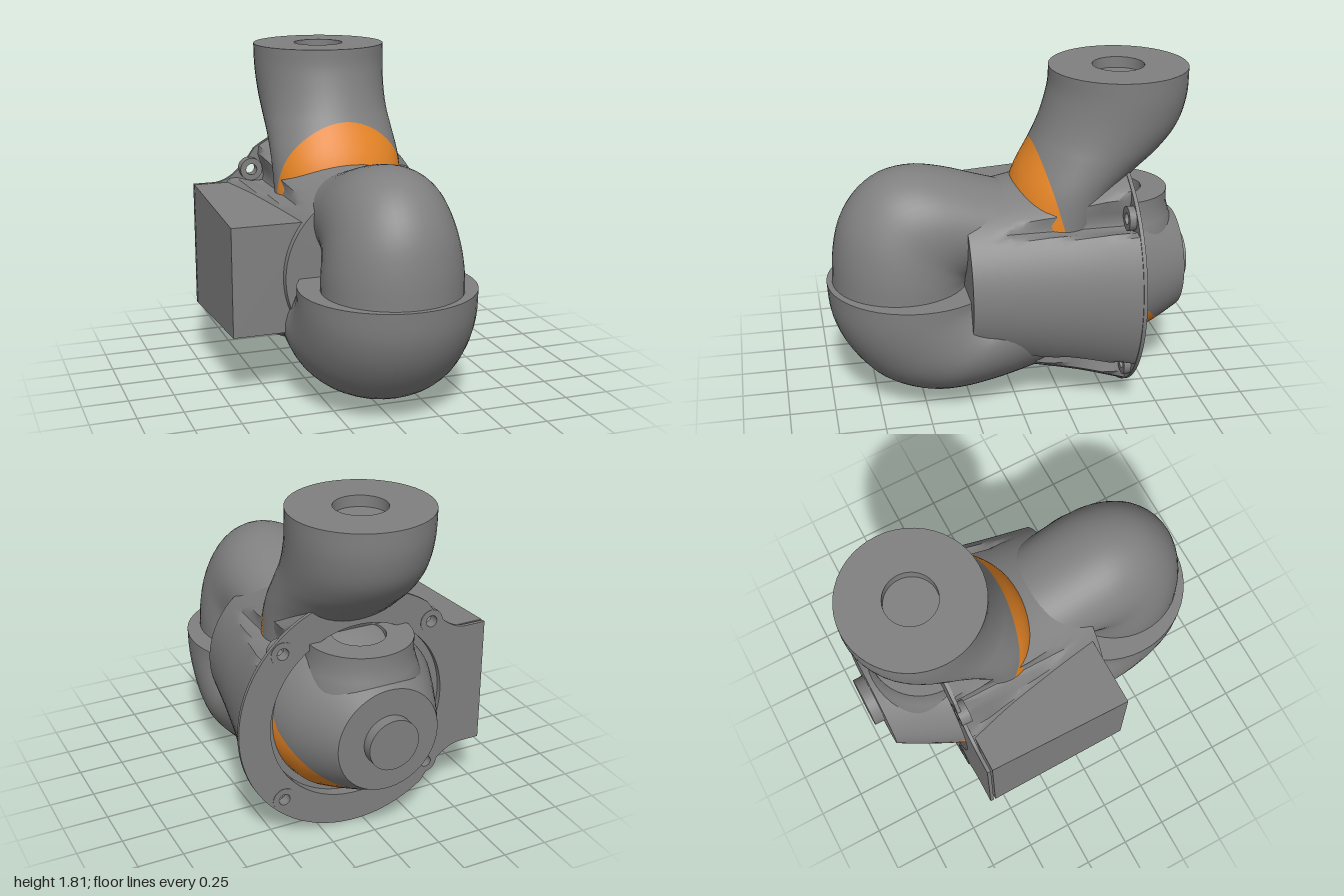
import * as THREE from 'three';
import { toCreasedNormals } from 'three/addons/utils/BufferGeometryUtils.js';

const CX = 0.04, CY = 0.68; // main axis, running along z

const grey = new THREE.MeshStandardMaterial({ color: 0x808080 });
grey.name = 'grey casing';
const orange = new THREE.MeshStandardMaterial({ color: 0xf28c28 });
orange.name = 'orange marking';

// Tube through oval rings: [outer [z, y], inner [z, y], half width]; a negative width reverses the facing
function loft(rings, capStart, capEnd, n = 48) {
  const pos = [], idx = [];
  for (const [o, i, w] of rings) {
    for (let j = 0; j < n; j++) {
      const a = (j / n) * Math.PI * 2, c = Math.cos(a) / 2;
      pos.push(CX + w * Math.sin(a), (o[1] + i[1]) / 2 + (o[1] - i[1]) * c, (o[0] + i[0]) / 2 + (o[0] - i[0]) * c);
    }
  }
  const flip = rings[0][2] < 0;
  const tri = (a, b, c) => (flip ? idx.push(a, c, b) : idx.push(a, b, c));
  // Negative widths already mirror the ring, so the winding stays consistent
  const add = (a, b, c) => (flip ? tri(a, c, b) : tri(a, b, c));
  for (let k = 0; k < rings.length - 1; k++) {
    for (let j = 0; j < n; j++) {
      const a = k * n + j, b = k * n + (j + 1) % n;
      add(a, b, b + n);
      add(a, b + n, a + n);
    }
  }
  const last = (rings.length - 1) * n;
  for (let j = 1; j < n - 1; j++) {
    if (capStart) add(0, j + 1, j);
    if (capEnd) add(last, last + j, last + j + 1);
  }
  const g = new THREE.BufferGeometry();
  g.setAttribute('position', new THREE.Float32BufferAttribute(pos, 3));
  g.setIndex(idx);
  return toCreasedNormals(g, 0.7);
}

// Smooths a coarse list of rings with splines
function smoothRings(rings, count) {
  const curve = (f) => new THREE.CatmullRomCurve3(rings.map(f)).getPoints(count);
  const pts = (pick) => new THREE.SplineCurve(rings.map(pick)).getPoints(count);
  const o = pts((r) => new THREE.Vector2(...r[0]));
  const i = pts((r) => new THREE.Vector2(...r[1]));
  const w = pts((r, k) => new THREE.Vector2(k, r[2]));
  return o.map((p, k) => [[p.x, p.y], [i[k].x, i[k].y], w[k].y]);
}

const lathe = (points, n = 64) =>
  new THREE.LatheGeometry(points.map((p) => new THREE.Vector2(p[0], p[1])), n);

// Lathe about the main axis; points are [radius, z]
const latheZ = (points, n) => lathe(points, n).rotateX(Math.PI / 2).translate(CX, CY, 0);

// Cuts triangles along the plane ny*y + nz*z + d = 0; the positive side becomes orange
function twoTone(geometry, ny, nz, d) {
  const g = geometry.index ? geometry.toNonIndexed() : geometry;
  const P = g.attributes.position, N = g.attributes.normal;
  const out = [{ p: [], n: [] }, { p: [], n: [] }];
  for (let t = 0; t < P.count; t += 3) {
    const v = [0, 1, 2].map((k) => {
      const p = new THREE.Vector3().fromBufferAttribute(P, t + k);
      return { p, n: new THREE.Vector3().fromBufferAttribute(N, t + k), s: ny * p.y + nz * p.z + d };
    });
    [-1, 1].forEach((side, slot) => {
      const poly = [];
      v.forEach((a, k) => {
        const b = v[(k + 1) % 3];
        if (a.s * side >= 0) poly.push(a);
        if (a.s * b.s < 0) {
          const f = a.s / (a.s - b.s);
          poly.push({ p: a.p.clone().lerp(b.p, f), n: a.n.clone().lerp(b.n, f).normalize() });
        }
      });
      for (let k = 1; k < poly.length - 1; k++) {
        for (const q of [poly[0], poly[k], poly[k + 1]]) {
          out[slot].p.push(...q.p.toArray());
          out[slot].n.push(...q.n.toArray());
        }
      }
    });
  }
  const r = new THREE.BufferGeometry();
  r.setAttribute('position', new THREE.Float32BufferAttribute(out[0].p.concat(out[1].p), 3));
  r.setAttribute('normal', new THREE.Float32BufferAttribute(out[0].n.concat(out[1].n), 3));
  r.addGroup(0, out[0].p.length / 3, 0);
  r.addGroup(out[0].p.length / 3, out[1].p.length / 3, 1);
  return r;
}

const circleHole = (x, y, r) => new THREE.Path().absarc(x, y, r, 0, Math.PI * 2, true);

export function createModel() {
  const model = new THREE.Group();
  model.name = 'jointHousing';
  const add = (name, geometry, material = grey) => {
    const m = new THREE.Mesh(geometry, material);
    m.name = name;
    model.add(m);
    return m;
  };
  const screws = [[1, 1], [-1, 1], [-1, -1], [1, -1]].map(([a, b]) => [CX + a * 0.427, CY + b * 0.427]);

  // Flared main casing with four scooped screw pockets
  const flare = new THREE.SplineCurve([[0.672, -0.6], [0.6, -0.35], [0.545, -0.1], [0.515, 0.05], [0.475, 0.27]]
    .map((p) => new THREE.Vector2(...p))).getPoints(20).map((p) => [p.x, p.y]);
  const casing = latheZ([[0, -0.55], [0.5, -0.55], [0.5, -0.6], ...flare, [0, 0.27]], 128);
  const cp = casing.attributes.position;
  for (let i = 0; i < cp.count; i++) {
    const x = cp.getX(i) - CX, y = cp.getY(i) - CY, r = Math.hypot(x, y);
    const off = Math.abs(Math.atan2(Math.abs(y), Math.abs(x)) - Math.PI / 4) / 0.17;
    const limit = 0.5 + 0.18 * off * off;
    if (r > limit) cp.setXY(i, CX + x * limit / r, CY + y * limit / r);
  }
  add('mainCasing', toCreasedNormals(casing, 0.6));

  // Rear flange plate with a side wing
  const plate = new THREE.Shape();
  plate.absarc(CX, CY, 0.675, -2.208, 2.208, false);
  plate.quadraticCurveTo(-0.48, 1.04, -0.6, 1.035);
  plate.lineTo(-0.72, 1.035);
  plate.lineTo(-0.72, 0.325);
  plate.lineTo(-0.6, 0.325);
  plate.quadraticCurveTo(-0.48, 0.32, CX + 0.675 * Math.cos(2.208), CY - 0.675 * Math.sin(2.208));
  plate.holes.push(circleHole(CX, CY, 0.5), ...screws.map(([x, y]) => circleHole(x, y, 0.032)));
  add('flangePlate', new THREE.ExtrudeGeometry(plate, { depth: 0.02, bevelEnabled: false, curveSegments: 64 })
    .translate(0, 0, -0.61));

  // Screw bosses
  const ring = new THREE.Shape().absarc(0, 0, 0.065, 0, Math.PI * 2, false);
  ring.holes.push(circleHole(0, 0, 0.032));
  for (const [x, y] of screws) {
    add('screwBoss', new THREE.ExtrudeGeometry(ring, { depth: 0.06, bevelEnabled: false, curveSegments: 16 })
      .translate(x, y, -0.613));
  }

  // Side box, slightly narrower toward the front
  const box = new THREE.BoxGeometry(0.44, 0.71, 0.82).translate(-0.5, CY, -0.17);
  const bp = box.attributes.position;
  for (let i = 0; i < bp.count; i++) {
    if (bp.getZ(i) > 0) bp.setY(i, CY + (bp.getY(i) - CY) * 0.85);
  }
  box.computeVertexNormals();
  add('sideBox', box);

  // Lower elbow shell, flat rim on top
  add('lowerElbow', loft(smoothRings([
    [[1.0, 0.68], [0.05, 0.68], -0.475], [[0.98, 0.5], [0.05, 0.68], -0.475],
    [[0.9, 0.32], [0.04, 0.69], -0.475], [[0.75, 0.15], [0.02, 0.7], -0.475],
    [[0.55, 0.06], [0, 0.72], -0.475], [[0.35, 0.04], [-0.03, 0.78], -0.47],
    [[0.1, 0.075], [-0.06, 0.85], -0.46], [[-0.16, 0.14], [-0.1, 0.95], -0.45],
  ], 28), true, true));

  // Upper elbow curving back into the casing
  add('upperElbow', loft(smoothRings([
    [[0.97, 0.68], [0.22, 0.68], 0.375], [[0.96, 0.85], [0.22, 0.69], 0.372],
    [[0.92, 1.03], [0.21, 0.7], 0.36], [[0.83, 1.18], [0.2, 0.7], 0.345],
    [[0.7, 1.28], [0.18, 0.7], 0.335], [[0.53, 1.315], [0.15, 0.7], 0.325],
    [[0.35, 1.29], [0.1, 0.69], 0.315], [[0.15, 1.23], [0.03, 0.68], 0.31],
    [[-0.06, 1.17], [-0.06, 0.68], 0.31],
  ], 28), true, true));

  // Rising arm with an orange front saddle
  const arm = loft(smoothRings([
    [[0.02, 0.95], [-0.5, 0.95], 0.37], [[-0.02, 1.2], [-0.58, 1.17], 0.37],
    [[-0.12, 1.41], [-0.7, 1.28], 0.362], [[-0.16, 1.5], [-0.83, 1.39], 0.36],
    [[-0.195, 1.6], [-0.93, 1.52], 0.365], [[-0.225, 1.72], [-0.975, 1.67], 0.372],
    [[-0.23, 1.82], [-0.98, 1.82], 0.375],
  ], 28), true, false);
  add('arm', twoTone(arm, -0.275, 1, 0.523), [grey, orange]);

  // Recessed arm end
  add('armCap', toCreasedNormals(lathe([[0.375, 0], [0.14, 0], [0.14, -0.06], [0, -0.06]], 48)
    .translate(CX, 1.82, -0.605), 0.6));

  // Rear hub with an orange underside, end knob and upright socket
  const hub = toCreasedNormals(latheZ(
    [[0, -0.94], [0.285, -0.94], [0.335, -0.85], [0.41, -0.7], [0.455, -0.6], [0.47, -0.5]], 64), 0.6);
  add('rearHub', twoTone(hub, -0.25, 0.32, 0.25 * 0.67 + 0.32 * 0.6), [grey, orange]);
  add('hubKnob', new THREE.CylinderGeometry(0.14, 0.14, 0.08, 40).rotateX(Math.PI / 2).translate(CX, CY, -0.96));
  add('hubSocket', toCreasedNormals(lathe(
    [[0.32, 0.8], [0.32, 0.93], [0.295, 1.0], [0.28, 1.06], [0.28, 1.13], [0.14, 1.13], [0.14, 1.06], [0, 1.06]], 48)
    .translate(CX, 0, -0.61), 0.6));

  return model;
}
